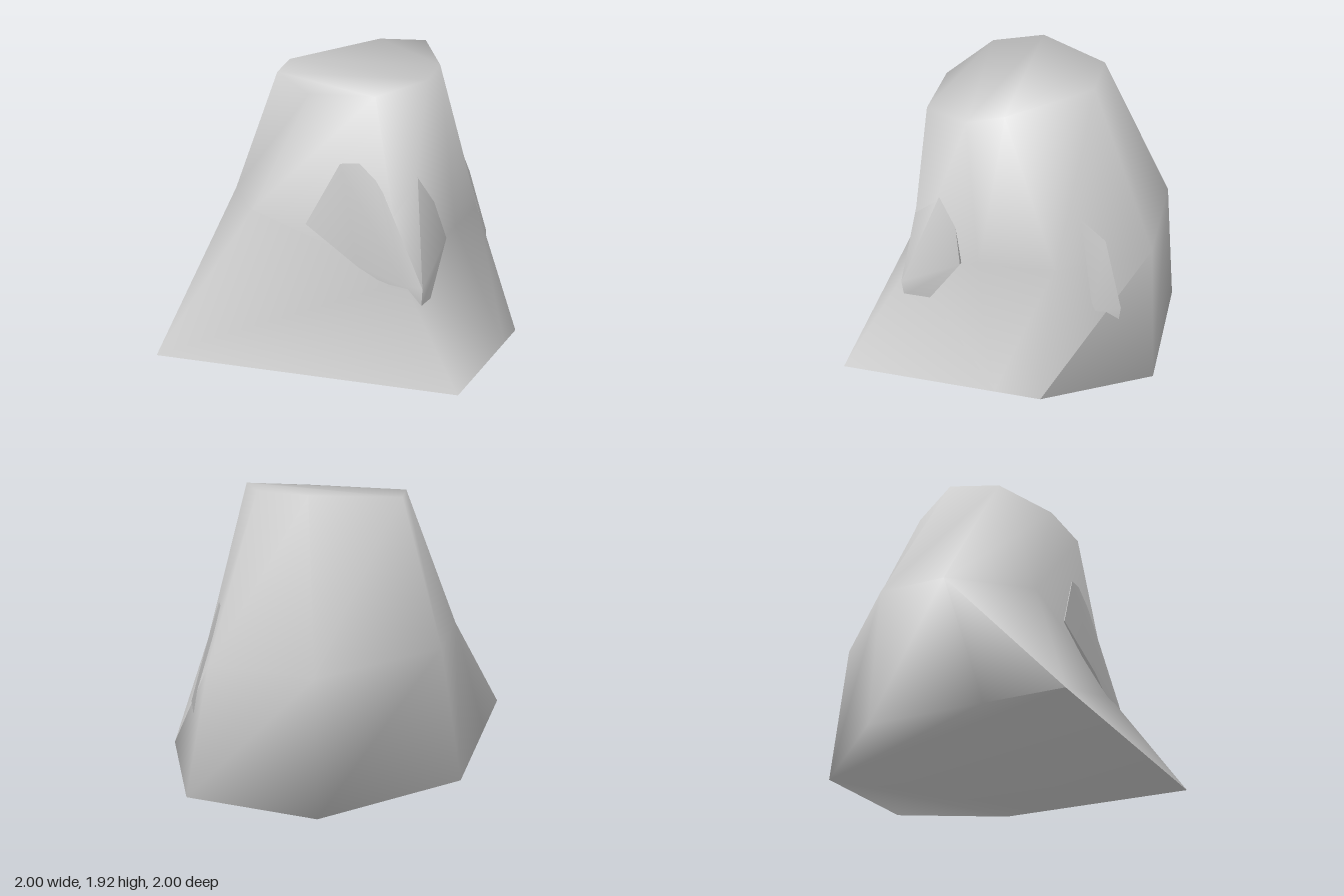
import * as THREE from 'three';
import { toCreasedNormals } from 'three/addons/utils/BufferGeometryUtils.js';
import { ConvexGeometry } from 'three/addons/geometries/ConvexGeometry.js';

const material = new THREE.MeshStandardMaterial({ color: 0xcccccc });

// Eight-point outlines, running back, left side (+x), front, right side
const foot = [
  [-0.26, 0, -1], [0.62, 0, -1], [1, 0, -0.33], [1, 0, -0.03],
  [1, 0, 1], [-1, 0, 1], [-1, 0, 0.5], [-1, 0, -0.25],
];
const waist = [
  [-0.22, 0.91, -0.92], [0.47, 0.91, -0.92], [0.71, 0.83, -0.35], [0.71, 0.8, 0.14],
  [0.54, 0.56, 0.66], [-0.5, 0.91, 0.61], [-0.84, 0.94, 0.15], [-0.85, 0.94, -0.29],
];
const crown = [
  [-0.04, 1.92, -0.49], [0.29, 1.92, -0.49], [0.55, 1.81, 0], [0.55, 1.74, 0.24],
  [0.32, 1.66, 0.56], [-0.12, 1.66, 0.56], [-0.44, 1.76, 0.33], [-0.5, 1.81, 0],
];
const N = foot.length;

// Mesh that is smooth below the crease angle
function addMesh(group, name, geometry, crease) {
  const mesh = new THREE.Mesh(toCreasedNormals(geometry, crease), material);
  mesh.name = name;
  group.add(mesh);
}

// Worn lump set into the rock face
function addLump(group, name, points) {
  addMesh(group, name, new ConvexGeometry(points.map((p) => new THREE.Vector3(...p))), 1.2);
}

export function createModel() {
  const rock = new THREE.Group();
  rock.name = 'rock';

  // Walls, lofted through the three outlines
  const index = [];
  for (let band = 0; band < 2; band++) {
    for (let j = 0; j < N; j++) {
      const a = band * N + j, b = band * N + (j + 1) % N;
      const c = a + N, d = b + N;
      // Beside the front corners the lower wall folds the other way
      if (band === 0 && (j === 3 || j === 5)) index.push(a, c, d, a, d, b);
      else index.push(a, c, b, b, c, d);
    }
  }
  // Underside
  for (let j = 1; j < N - 1; j++) index.push(0, j, j + 1);
  // Top: rear slope, then front slope
  for (const i of [0, 2, 1, 0, 7, 2, 7, 3, 2, 7, 6, 3, 6, 4, 3, 6, 5, 4]) index.push(2 * N + i);

  const body = new THREE.BufferGeometry();
  body.setAttribute('position', new THREE.Float32BufferAttribute([foot, waist, crown].flat(2), 3));
  body.setIndex(index);
  addMesh(rock, 'rockBody', body, 1.8);

  // Lump on the front left corner
  addLump(rock, 'frontLump', [
    [0.1, 1.24, 0.6], [0.3, 1.26, 0.59], [0.52, 1.32, 0.37], [-0.12, 0.85, 0.63],
    [0.25, 0.62, 0.68], [0.56, 0.53, 0.69], [0.67, 0.52, 0.68], [0.66, 0.4, 0.67],
    [0.66, 0.4, 0.5], [0.69, 0.75, 0.27], [0.2, 0.8, 0.2],
  ]);

  // Small lump on the rear left side
  addLump(rock, 'rearLump', [
    [0.57, 1.15, -0.48], [0.57, 1.01, -0.64], [0.66, 0.57, -0.77], [0.65, 0.38, -0.75],
    [0.71, 0.55, -0.6], [0.63, 0.85, -0.56], [0.4, 0.8, -0.5],
  ]);
  return rock;
}
